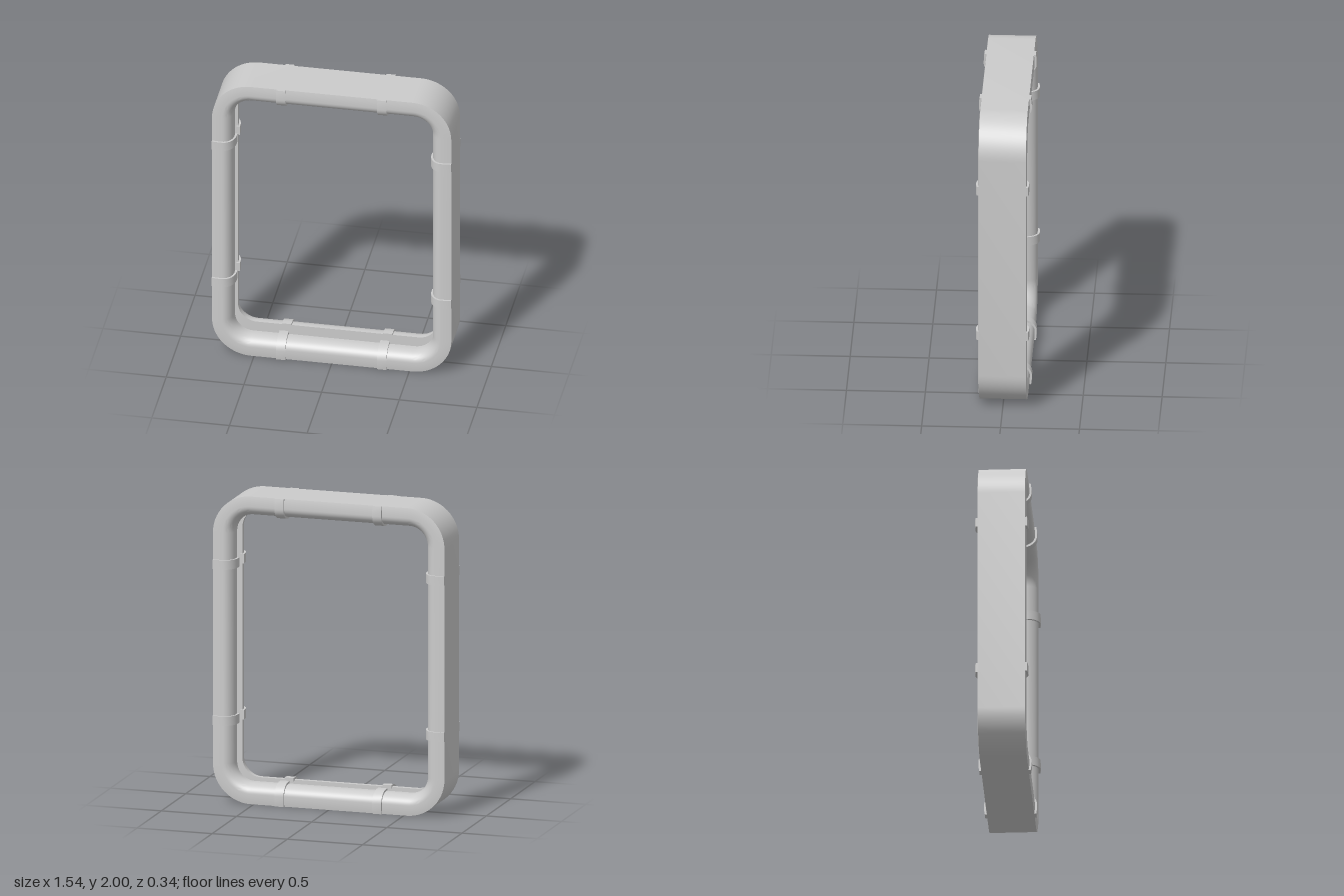
import * as THREE from 'three';
import { toCreasedNormals } from 'three/addons/utils/BufferGeometryUtils.js';

const HALF_W = 0.77, HALF_H = 1, RADIUS = 0.25, ARC = 14;
const material = new THREE.MeshStandardMaterial({ color: 0xcccccc });

// Rounded front lip as [distance inward from outer wall, z], grown by t
function lipProfile(t = 0) {
  const pts = [[0, 0.15 + t], [0.025, 0.154 + t]];
  for (let i = 0; i <= 12; i++) {
    const a = (i / 12) * Math.PI / 2;
    pts.push([0.065 + (0.065 + t) * Math.sin(a), 0.07 + (0.085 + t) * Math.cos(a)]);
  }
  return pts;
}

// Two rounded lips joined by a thin outer wall, swept round a rounded rectangle
function frameGeometry() {
  const half = [...lipProfile(), [0.13, 0.054], [0.03, 0.054]];
  const section = [...half, ...half.slice().reverse().map(([d, z]) => [d, -z])];
  const corners = [[1, 1], [-1, 1], [-1, -1], [1, -1]];
  const pos = [], idx = [], n = section.length, rings = 4 * (ARC + 1);
  corners.forEach(([sx, sy], c) => {
    for (let k = 0; k <= ARC; k++) {
      const a = (c + k / ARC) * Math.PI / 2;
      for (const [d, z] of section) {
        pos.push(sx * (HALF_W - RADIUS) + (RADIUS - d) * Math.cos(a),
          HALF_H + sy * (HALF_H - RADIUS) + (RADIUS - d) * Math.sin(a), z);
      }
    }
  });
  for (let i = 0; i < rings; i++) {
    for (let j = 0; j < n; j++) {
      const i2 = (i + 1) % rings, j2 = (j + 1) % n;
      const a = i * n + j, b = i2 * n + j, c = i2 * n + j2, d = i * n + j2;
      idx.push(a, b, c, a, c, d);
    }
  }
  const g = new THREE.BufferGeometry();
  g.setAttribute('position', new THREE.Float32BufferAttribute(pos, 3));
  g.setIndex(idx);
  return toCreasedNormals(g, 0.6);
}

// Narrow strap hugging one lip
function strapGeometry() {
  const outline = [...lipProfile(0.013), [0.143, 0.042], [0.12, 0.042], [0.12, 0.07], [0.03, 0.12], [0, 0.145]];
  const shape = new THREE.Shape(outline.map(([d, z]) => new THREE.Vector2(d, z)));
  const g = new THREE.ExtrudeGeometry(shape, { depth: 0.06, bevelEnabled: false });
  g.translate(0, 0, -0.03);
  return toCreasedNormals(g, 0.6);
}

export function createModel() {
  const model = new THREE.Group();
  const frame = new THREE.Mesh(frameGeometry(), material);
  frame.name = 'frame';
  model.add(frame);

  // Straps: two per rail, on the front and back lips
  const straps = new THREE.Group();
  straps.name = 'straps';
  model.add(straps);
  const geometry = strapGeometry();
  const addStrap = (name, x, y, inward) => {
    for (const side of [1, -1]) {
      const z = new THREE.Vector3(0, 0, side);
      const strap = new THREE.Mesh(geometry, material);
      strap.name = name + (side > 0 ? 'Front' : 'Back');
      strap.quaternion.setFromRotationMatrix(
        new THREE.Matrix4().makeBasis(inward, z, inward.clone().cross(z)));
      strap.position.set(x, y, 0);
      straps.add(strap);
    }
  };
  for (const s of [1, -1]) {
    for (const y of [0.53, 1.545]) {
      addStrap(s > 0 ? 'leftStrap' : 'rightStrap', s * HALF_W, y, new THREE.Vector3(-s, 0, 0));
    }
    for (const x of [-0.325, 0.325]) {
      addStrap(s > 0 ? 'topStrap' : 'bottomStrap', x, HALF_H + s * HALF_H, new THREE.Vector3(0, -s, 0));
    }
  }
  return model;
}
